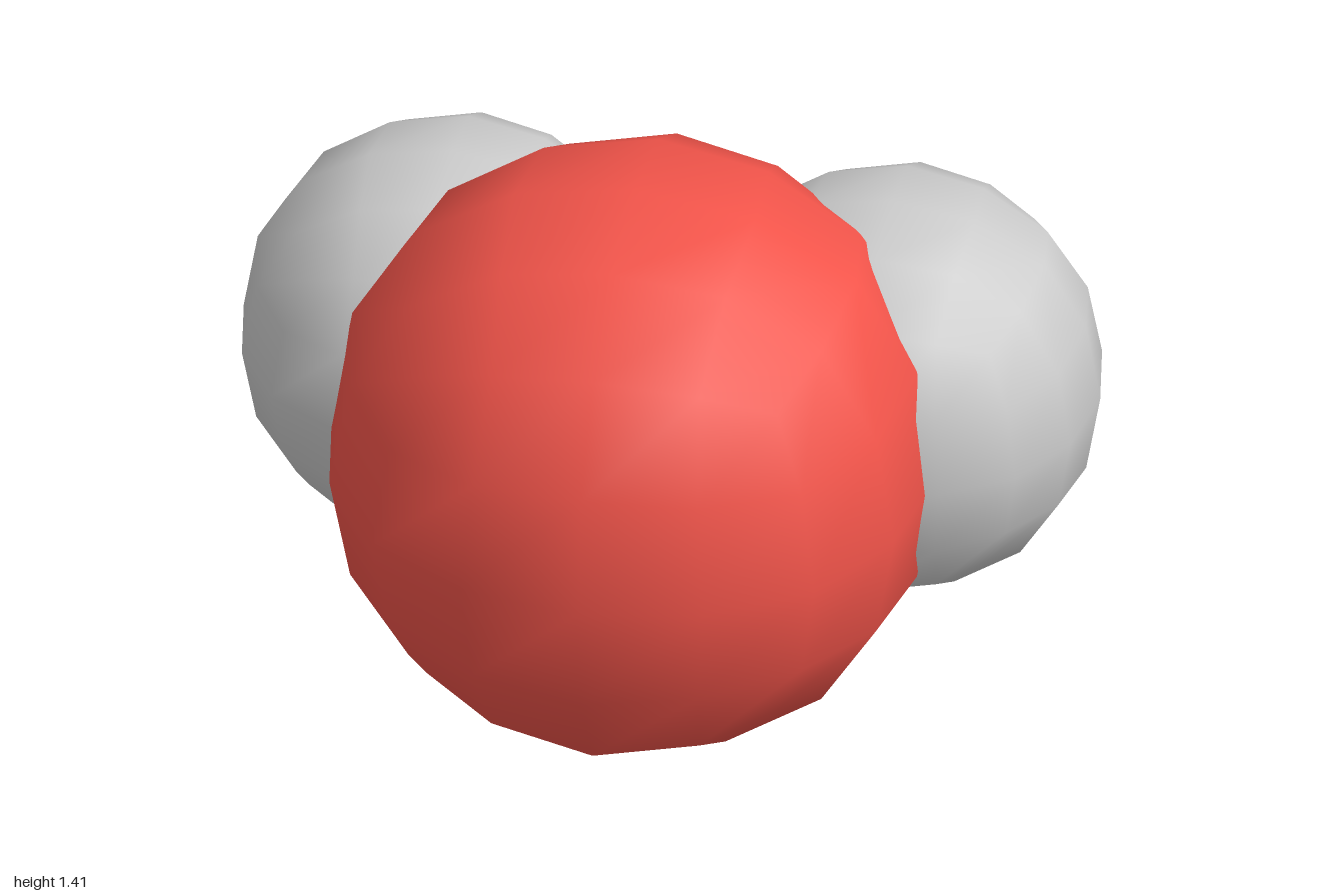
import * as THREE from 'three';
import { mergeVertices } from 'three/addons/utils/BufferGeometryUtils.js';

// Ball made from a cube smoothed twice: each coordinate of the 4x4 grid cube
// moves to a rounded value that depends on how far out its vertex lies.
const ROUNDED = {
  1: { 1: 0.8785 },                 // face centre
  1.25: { 1: 0.8194, 0.5: 0.3507 },
  1.5: { 1: 0.7639, 0.5: 0.3264 },
  2: { 1: 0.6432 },                 // edge middle
  2.25: { 1: 0.599, 0.5: 0.3021 },
  3: { 1: 0.5093 },                 // corner
};

function ballGeometry(radius) {
  let g = new THREE.BoxGeometry(2, 2, 2, 4, 4, 4);
  g.deleteAttribute('normal');
  g.deleteAttribute('uv');
  g = mergeVertices(g);
  const p = g.attributes.position;
  const v = new THREE.Vector3();
  for (let i = 0; i < p.count; i++) {
    v.fromBufferAttribute(p, i);
    const row = ROUNDED[v.lengthSq()];
    const round = (c) => Math.sign(c) * (row[Math.abs(c)] ?? 0);
    p.setXYZ(i, round(v.x), round(v.y), round(v.z));
  }
  g.scale(radius / 0.8785, radius / 0.8785, radius / 0.8785);
  g.computeVertexNormals();
  return g;
}

export function createModel() {
  const model = new THREE.Group();
  model.name = 'molecule';

  const red = new THREE.MeshStandardMaterial({ color: 0xf2544a });
  const grey = new THREE.MeshStandardMaterial({ color: 0xcccccc });

  function addBall(name, radius, material, x, y, z) {
    const ball = new THREE.Mesh(ballGeometry(radius), material);
    ball.name = name;
    ball.position.set(x, y, z);
    model.add(ball);
  }

  // Large central atom with two smaller ones sunk into its back
  addBall('centralAtom', 0.706, red, -0.015, 0.708, 0.083);
  addBall('leftAtom', 0.487, grey, 0.512, 0.71, -0.296);
  addBall('rightAtom', 0.487, grey, -0.514, 0.71, -0.307);

  return model;
}
